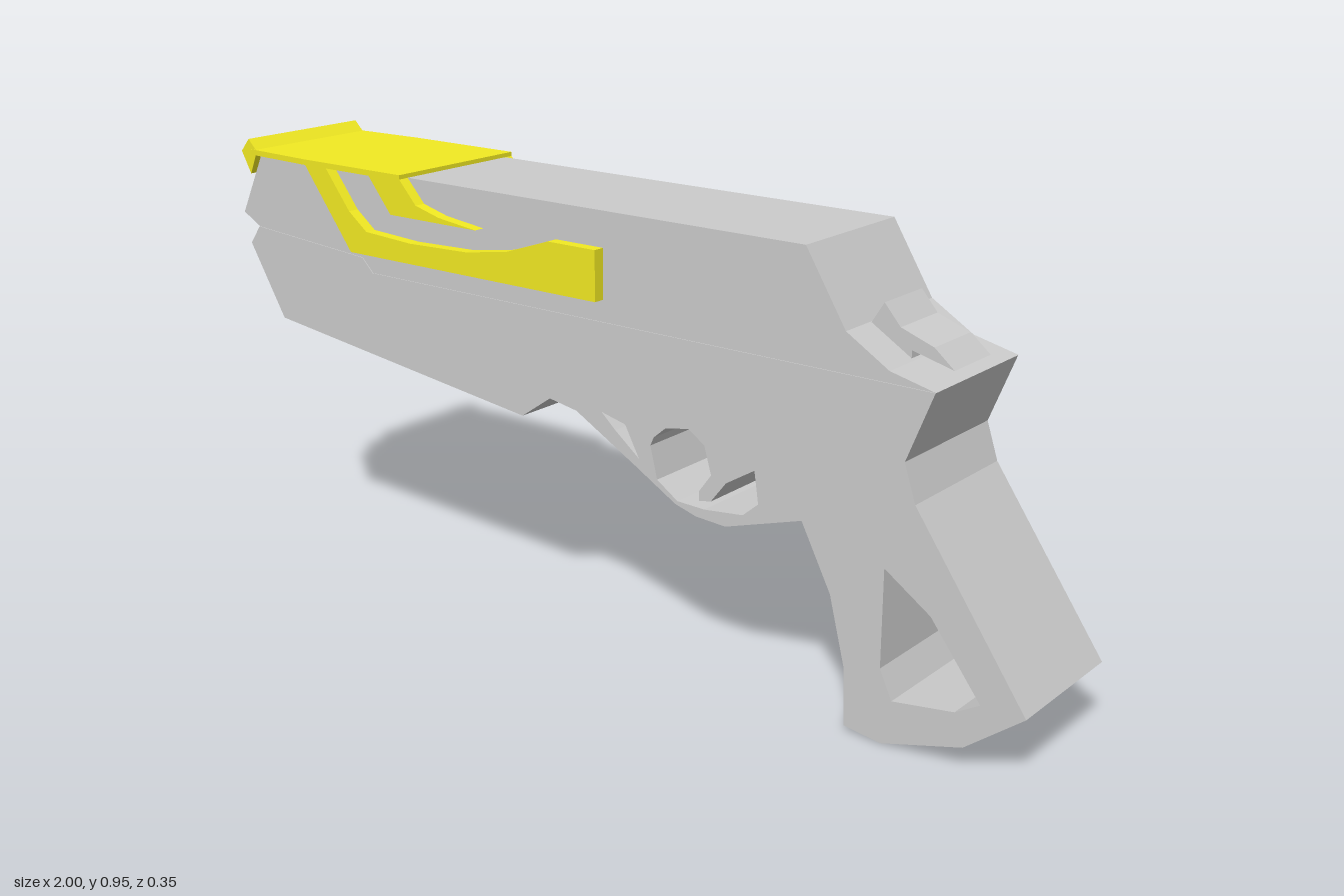
import * as THREE from 'three';

const grey = new THREE.MeshStandardMaterial({ color: 0xcccccc, flatShading: true });
const yellow = new THREE.MeshStandardMaterial({ color: 0xf2ea22, flatShading: true });

const points = (list) => list.map(([x, y]) => new THREE.Vector2(x, y));

// Extrudes a side profile from z0 to z1; holes are listed clockwise and turned to face inwards
function slab(name, material, outline, z0, z1, holes = []) {
  const shape = new THREE.Shape(points(outline));
  holes.forEach((h) => shape.holes.push(new THREE.Path(points(h).reverse())));
  const geometry = new THREE.ExtrudeGeometry(shape, { depth: z1 - z0, bevelEnabled: false });
  geometry.translate(0, 0, z0);
  const mesh = new THREE.Mesh(geometry, material);
  mesh.name = name;
  return mesh;
}

export function createModel() {
  const model = new THREE.Group();
  model.name = 'pistol';

  // Parting line shared by the upper and lower body, front to rear
  const seam = [[-0.95, 0.748], [-0.62, 0.725], [-0.59, 0.695], [0.789, 0.695]];

  // Upper body, set a hair towards the back so the parting line shows as a step
  model.add(slab('upperBody', grey, [
    ...seam, [0.695, 0.717], [0.603, 0.773], [0.514, 0.916], [-0.93, 0.916], [-1, 0.775],
  ], -0.152, 0.148));

  // Openings in the frame
  const guardSlot = [[0.045, 0.511], [0.105, 0.497], [0.14, 0.433], [0.08, 0.48]];
  const triggerOpening = [
    [0.168, 0.467], [0.176, 0.485], [0.205, 0.51], [0.26, 0.52], [0.298, 0.495], [0.315, 0.438],
    [0.287, 0.4], [0.287, 0.38], [0.315, 0.385], [0.35, 0.43], [0.415, 0.47], [0.425, 0.405],
    [0.39, 0.375], [0.3, 0.365], [0.235, 0.367], [0.185, 0.4],
  ];
  const gripOpening = [[0.703, 0.348], [0.802, 0.281], [0.91, 0.14], [0.86, 0.111], [0.73, 0.092], [0.703, 0.15]];

  // Lower body with trigger guard and grip
  model.add(slab('frame', grey, [
    ...seam, [0.735, 0.558], [0.76, 0.483], [1, 0.14], [0.88, 0.047], [0.71, 0], [0.63, 0.011],
    [0.625, 0.13], [0.59, 0.267], [0.523, 0.396], [0.35, 0.342], [0.28, 0.346], [0.23, 0.36],
    [0.13, 0.417], [-0.02, 0.5], [-0.09, 0.512], [-0.165, 0.46], [-0.883, 0.547], [-0.98, 0.707],
  ], -0.15, 0.15, [guardSlot, triggerOpening, gripOpening]));

  // Rear sight and hammer
  model.add(slab('hammer', grey, [
    [0.603, 0.77], [0.63, 0.813], [0.665, 0.773], [0.735, 0.748], [0.777, 0.713], [0.69, 0.735], [0.69, 0.715],
  ], -0.065, 0.065));

  // Coloured trim on both sides
  const panel = [
    [-0.765, 0.918], [-0.63, 0.74], [0.049, 0.74], [0.049, 0.843], [-0.07, 0.843], [-0.18, 0.806],
    [-0.29, 0.789], [-0.45, 0.784], [-0.58, 0.791], [-0.63, 0.829], [-0.7, 0.918],
  ];
  const fork = [[-0.57, 0.918], [-0.505, 0.838], [-0.264, 0.838], [-0.365, 0.85], [-0.43, 0.867], [-0.477, 0.918]];
  for (const [side, z0, z1] of [['front', 0.14, 0.173], ['back', -0.173, -0.14]]) {
    model.add(slab(`${side}Panel`, yellow, panel, z0, z1));
    model.add(slab(`${side}Fork`, yellow, fork, z0, z1));
  }

  // Top cover, tapering slightly towards the muzzle
  const cover = slab('topCover', yellow, [
    [-0.95, 0.163], [-0.77, 0.173], [-0.475, 0.173], [-0.475, -0.173], [-0.77, -0.173], [-0.95, -0.163],
  ], 0, 0.012);
  cover.geometry.rotateX(-Math.PI / 2).translate(0, 0.913, 0);
  model.add(cover);

  // Front sight bar
  model.add(slab('frontSight', yellow, [
    [-0.98, 0.918], [-0.955, 0.947], [-0.93, 0.922], [-0.953, 0.87],
  ], -0.162, 0.162));

  return model;
}
